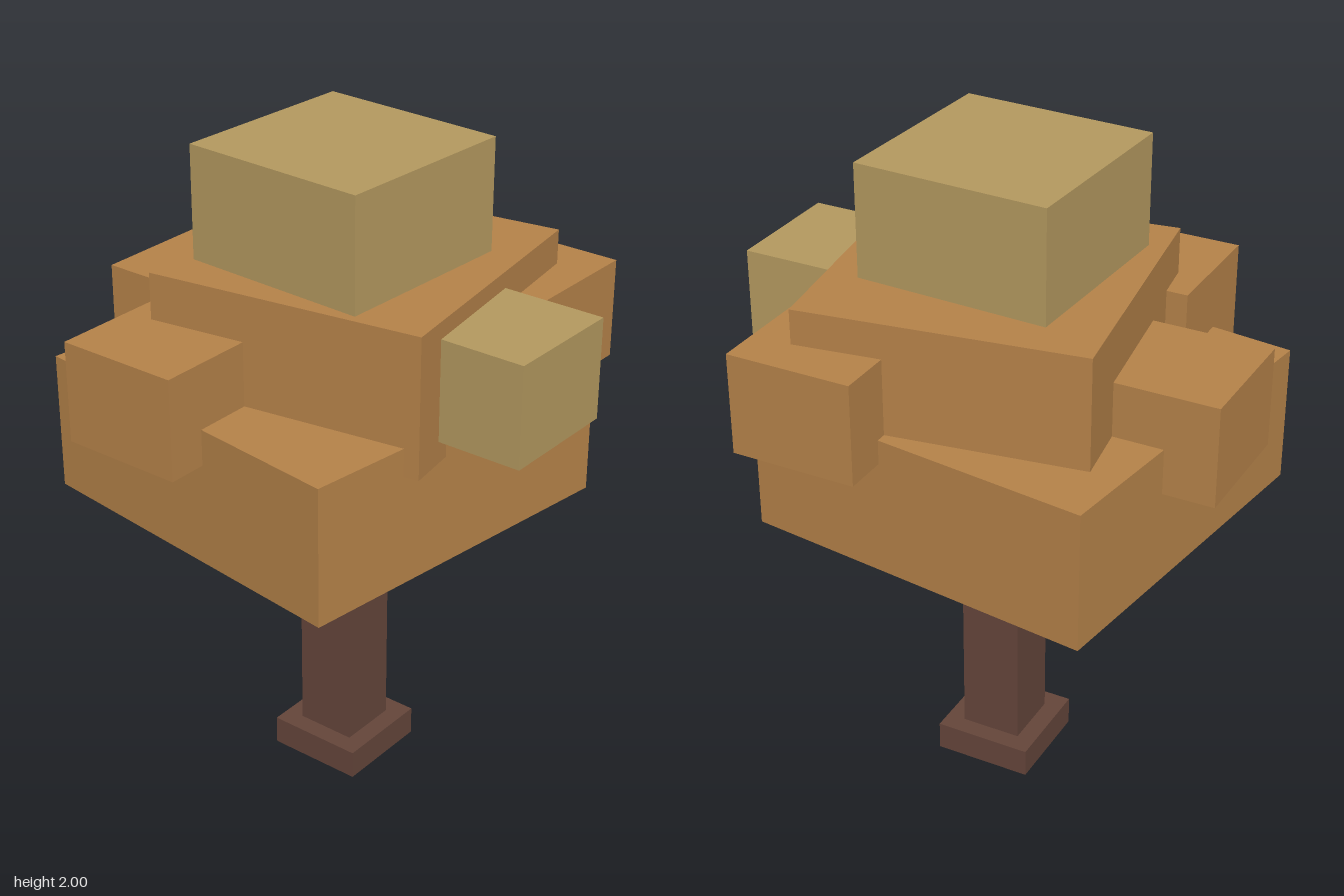
import * as THREE from 'three';

export function createModel() {
  const tree = new THREE.Group();
  tree.name = 'blockTree';

  const bark = new THREE.MeshStandardMaterial({ name: 'bark brown', color: 0x64453a });
  const amber = new THREE.MeshStandardMaterial({ name: 'amber leaves', color: 0xb58249 });
  const straw = new THREE.MeshStandardMaterial({ name: 'straw leaves', color: 0xb4995f });

  // Square block: width, bottom and top heights, centre x/z and turn about y
  function block(name, material, width, bottom, top, x, z, turn = 0) {
    const mesh = new THREE.Mesh(new THREE.BoxGeometry(width, top - bottom, width), material);
    mesh.name = name;
    mesh.position.set(x, (bottom + top) / 2, z);
    mesh.rotation.y = turn;
    tree.add(mesh);
  }

  // Trunk and its foot
  block('trunkFoot', bark, 0.304, 0, 0.09, 0.019, 0);
  block('trunk', bark, 0.188, 0.05, 0.95, 0.019, 0);

  // Stacked crown, each tier slightly turned
  block('lowerCrown', amber, 1.105, 0.9, 1.324, 0.005, -0.064, -0.132);
  block('middleCrown', amber, 0.849, 1.238, 1.661, 0.0625, 0.0155, 0.148);
  block('upperCrown', straw, 0.593, 1.6, 2, 0.01, 0.001, -0.0455);

  // Leaf clumps around the crown
  block('rightClump', amber, 0.383, 1.214, 1.52, -0.484, -0.235);
  block('leftClump', amber, 0.383, 1.25, 1.556, 0.481, 0.304);
  block('backClump', amber, 0.383, 1.185, 1.49, 0.033, -0.556);
  block('frontClump', straw, 0.383, 1.305, 1.61, 0.008, 0.551);

  return tree;
}
